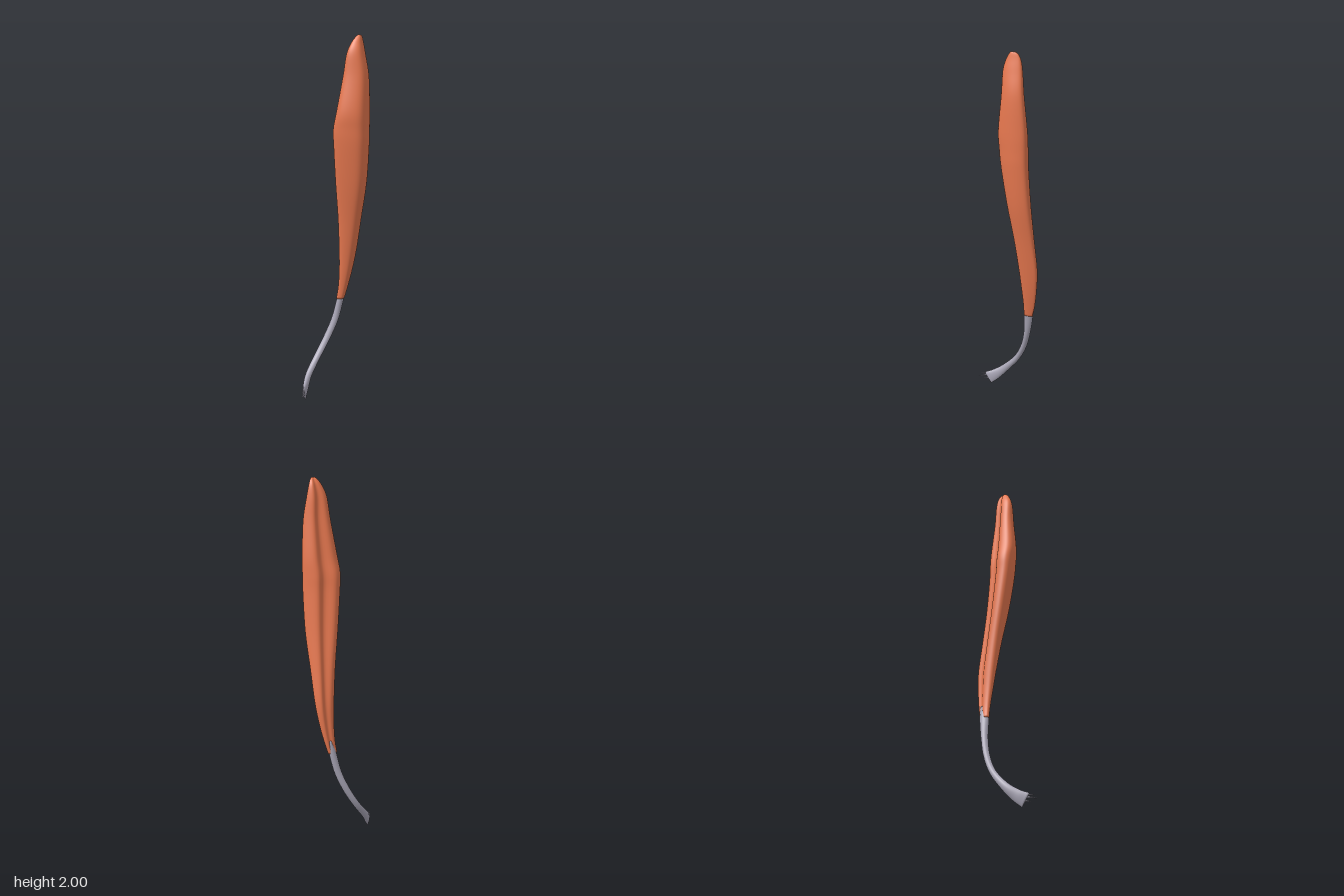
import * as THREE from 'three';

// Skin a stack of closed rings (counter-clockwise about the direction of travel), capped at both ends.
function loft(rings) {
  const n = rings[0].length, pos = [], idx = [];
  rings.forEach(r => r.forEach(p => pos.push(p.x, p.y, p.z)));
  for (let i = 0; i < rings.length - 1; i++) {
    for (let j = 0; j < n; j++) {
      const a = i * n + j, b = i * n + (j + 1) % n;
      idx.push(a, b, b + n, a, b + n, a + n);
    }
  }
  [0, rings.length - 1].forEach(i => {
    const c = rings[i].reduce((s, p) => s.add(p), new THREE.Vector3()).divideScalar(n);
    const k = pos.length / 3;
    pos.push(c.x, c.y, c.z);
    for (let j = 0; j < n; j++) {
      const a = i * n + j, b = i * n + (j + 1) % n;
      if (i) idx.push(k, a, b); else idx.push(k, b, a);
    }
  });
  const g = new THREE.BufferGeometry();
  g.setAttribute('position', new THREE.Float32BufferAttribute(pos, 3));
  g.setIndex(idx);
  g.computeVertexNormals();
  return g;
}

// Muscle cross-section in a unit square: convex front, hollow back-left side.
const SECTION = [[0, 0.78], [0.06, 0.93], [0.22, 1], [0.55, 0.98], [0.84, 0.86], [0.97, 0.6], [1, 0.3],
  [0.93, 0.05], [0.72, 0], [0.46, 0.06], [0.36, 0.33], [0.07, 0.5]];

// Muscle extents by height: y, x min, x max, z min, z max.
const LEVELS = [
  [0.53, -0.032, 0.008, -0.163, -0.11],
  [0.6, -0.021, 0.026, -0.178, -0.109],
  [0.7, -0.014, 0.05, -0.191, -0.101],
  [0.82, -0.012, 0.074, -0.197, -0.088],
  [1.0, -0.012, 0.105, -0.182, -0.064],
  [1.2, -0.017, 0.14, -0.166, -0.03],
  [1.4, -0.02, 0.157, -0.154, 0.0],
  [1.5, -0.02, 0.16, -0.152, 0.01],
  [1.6, 0.0, 0.161, -0.149, 0.013],
  [1.78, 0.031, 0.157, -0.133, -0.007],
  [1.9, 0.05, 0.138, -0.124, -0.015],
  [1.96, 0.073, 0.127, -0.115, -0.034],
  [1.99, 0.093, 0.122, -0.1, -0.053],
  [2.0, 0.103, 0.118, -0.085, -0.063],
];

function muscleGeometry() {
  const outline = new THREE.CatmullRomCurve3(SECTION.map(([u, v]) => new THREE.Vector3(u, 0, v)), true)
    .getPoints(48).slice(0, 48);
  const rail = (ix, iz) => new THREE.CatmullRomCurve3(
    LEVELS.map(l => new THREE.Vector3(l[ix], l[0], l[iz])), false, 'catmullrom');
  const low = rail(1, 3), high = rail(2, 4), rings = [], steps = 78;
  for (let i = 0; i <= steps; i++) {
    const a = low.getPoint(i / steps), b = high.getPoint(i / steps);
    rings.push(outline.map(p => new THREE.Vector3(
      a.x + (b.x - a.x) * p.x, a.y, a.z + (b.z - a.z) * p.z)));
  }
  return loft(rings);
}

// Tendon path from free end up into the muscle: x, y, z, half width across, half width in profile.
const TENDON = [
  [-0.14, 0.036, 0.138, 0.009, 0.04],
  [-0.147, 0.062, 0.093, 0.014, 0.032],
  [-0.149, 0.115, 0.03, 0.018, 0.022],
  [-0.122, 0.2, -0.043, 0.019, 0.017],
  [-0.081, 0.3, -0.093, 0.02, 0.017],
  [-0.04, 0.41, -0.123, 0.02, 0.019],
  [-0.012, 0.53, -0.137, 0.019, 0.026],
  [0.004, 0.6, -0.143, 0.014, 0.022],
];

function tendonGeometry() {
  const path = new THREE.CatmullRomCurve3(
    TENDON.map(t => new THREE.Vector3(t[0], t[1], t[2])), false, 'catmullrom');
  const size = new THREE.CatmullRomCurve3(
    TENDON.map(t => new THREE.Vector3(t[3], t[4], 0)), false, 'catmullrom');
  const rings = [], steps = 42, sides = 20;
  for (let i = 0; i <= steps; i++) {
    const c = path.getPoint(i / steps), r = size.getPoint(i / steps), t = path.getTangent(i / steps);
    const across = new THREE.Vector3(1, 0, 0).addScaledVector(t, -t.x).normalize();
    const profile = new THREE.Vector3().crossVectors(t, across);
    const ring = [];
    for (let j = 0; j < sides; j++) {
      const a = j / sides * Math.PI * 2;
      ring.push(c.clone().addScaledVector(across, r.x * Math.cos(a))
        .addScaledVector(profile, r.y * Math.sin(a)));
    }
    rings.push(ring);
  }
  return loft(rings);
}

export function createModel() {
  const model = new THREE.Group();
  model.name = 'muscleWithTendon';
  const red = new THREE.MeshStandardMaterial({ color: 0xe8784f });
  const grey = new THREE.MeshStandardMaterial({ color: 0xa9a6b6 });
  const add = (name, geometry, material, parent = model) => {
    const mesh = new THREE.Mesh(geometry, material);
    mesh.name = name;
    parent.add(mesh);
  };
  add('muscleBelly', muscleGeometry(), red);
  add('tendon', tendonGeometry(), grey);

  // Frayed fibres at the tendon's free end: base height and depth, tip x, y, z.
  const fibres = new THREE.Group();
  fibres.name = 'frayedFibres';
  model.add(fibres);
  [[0.062, 0.145, -0.138, 0.06, 0.18], [0.052, 0.145, -0.132, 0.042, 0.197],
    [0.035, 0.13, -0.143, 0.026, 0.165], [0.015, 0.115, -0.14, 0.002, 0.125]].forEach(([y, z, tx, ty, tz]) => {
    const base = new THREE.Vector3(-0.14, y, z), tip = new THREE.Vector3(tx, ty, tz);
    const dir = tip.clone().sub(base), len = dir.length();
    const g = new THREE.CylinderGeometry(0.001, 0.006, len, 6);
    g.translate(0, len / 2, 0);
    g.applyQuaternion(new THREE.Quaternion().setFromUnitVectors(new THREE.Vector3(0, 1, 0), dir.normalize()));
    g.translate(base.x, base.y, base.z);
    add('fibre', g, grey, fibres);
  });
  return model;
}
